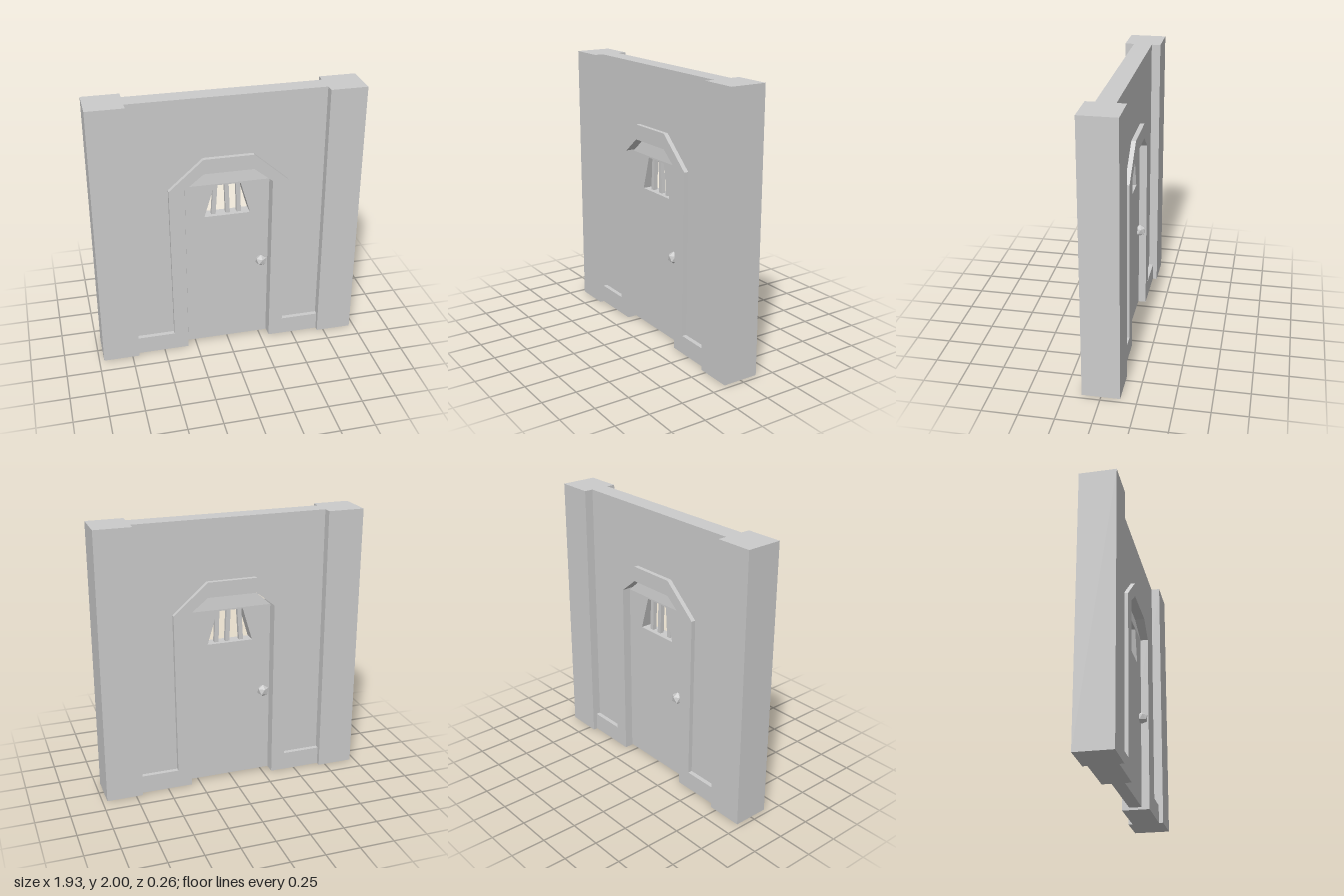
import * as THREE from 'three';

const material = new THREE.MeshStandardMaterial({ color: 0xcccccc, flatShading: true });

// Half outline (+x side) mirrored into a closed symmetric outline
const mirrored = (half) => [...half, ...half.map(([x, y]) => [-x, y]).reverse()]
  .map(([x, y]) => new THREE.Vector2(x, y));

// Flat outline extruded symmetrically about z = 0
function slab(points, depth, hole) {
  const shape = new THREE.Shape(points);
  if (hole) shape.holes.push(new THREE.Path(hole));
  return new THREE.ExtrudeGeometry(shape, { depth, bevelEnabled: false }).translate(0, 0, -depth / 2);
}

export function createModel() {
  const group = new THREE.Group();
  const add = (name, geometry) => {
    const mesh = new THREE.Mesh(geometry, material);
    mesh.name = name;
    group.add(mesh);
    return mesh;
  };

  // Outer line of the surround, from plinth end up to the arch crown
  const surround = [[0.70, 0.135], [0.42, 0.135], [0.43, 1.34], [0.18, 1.56]];
  const opening = [[0.18, 1.45], [0.317, 1.34], [0.317, 0]];

  // Pillars
  for (const side of [1, -1]) {
    add(side > 0 ? 'leftPillar' : 'rightPillar', new THREE.BoxGeometry(0.265, 2, 0.265))
      .position.set(side * 0.8325, 1, 0);
  }

  // Wall, cut out around the surround
  add('wall', slab(mirrored([[0.70, 2], ...surround]), 0.135));

  // Door surround with plinths, in one piece
  const outer = mirrored([[0.70, 0], ...surround]);
  const inner = mirrored([...opening].reverse()).reverse();
  add('doorSurround', slab([...outer, ...inner], 0.2));

  // Door leaf with a tapered window
  const doorDepth = 0.09;
  add('doorLeaf', slab(
    mirrored([[0.306, 0.015], [0.306, 1.335]]), doorDepth,
    mirrored([[0.168, 1.08], [0.096, 1.325]])));

  // Arched head of the door, leaning inwards towards the top
  const head = slab(mirrored([[0.306, 1.335], [0.178, 1.45]]), doorDepth);
  const p = head.attributes.position;
  for (let i = 0; i < p.count; i++) if (p.getY(i) > 1.4) p.setZ(i, p.getZ(i) * 0.65);
  head.computeVertexNormals();
  add('doorHead', head);

  // Slightly crooked window bars: [bottom x, top x]
  for (const [bottom, top] of [[-0.095, -0.08], [0.01, 0], [0.092, 0.084]]) {
    const bar = add('windowBar', new THREE.BoxGeometry(0.031, 0.27, 0.031));
    bar.position.set((bottom + top) / 2, 1.2025, 0);
    bar.rotation.z = Math.atan2(bottom - top, 0.245);
  }

  // Faceted knob on each face of the door
  for (const side of [1, -1]) {
    const knob = add(side > 0 ? 'frontKnob' : 'backKnob',
      new THREE.IcosahedronGeometry(0.045, 0).rotateZ(0.5536).rotateY(Math.PI / 2));
    knob.position.set(side * 0.253, 0.67, side * 0.062);
    if (side < 0) knob.rotation.y = Math.PI;
  }

  return group;
}
